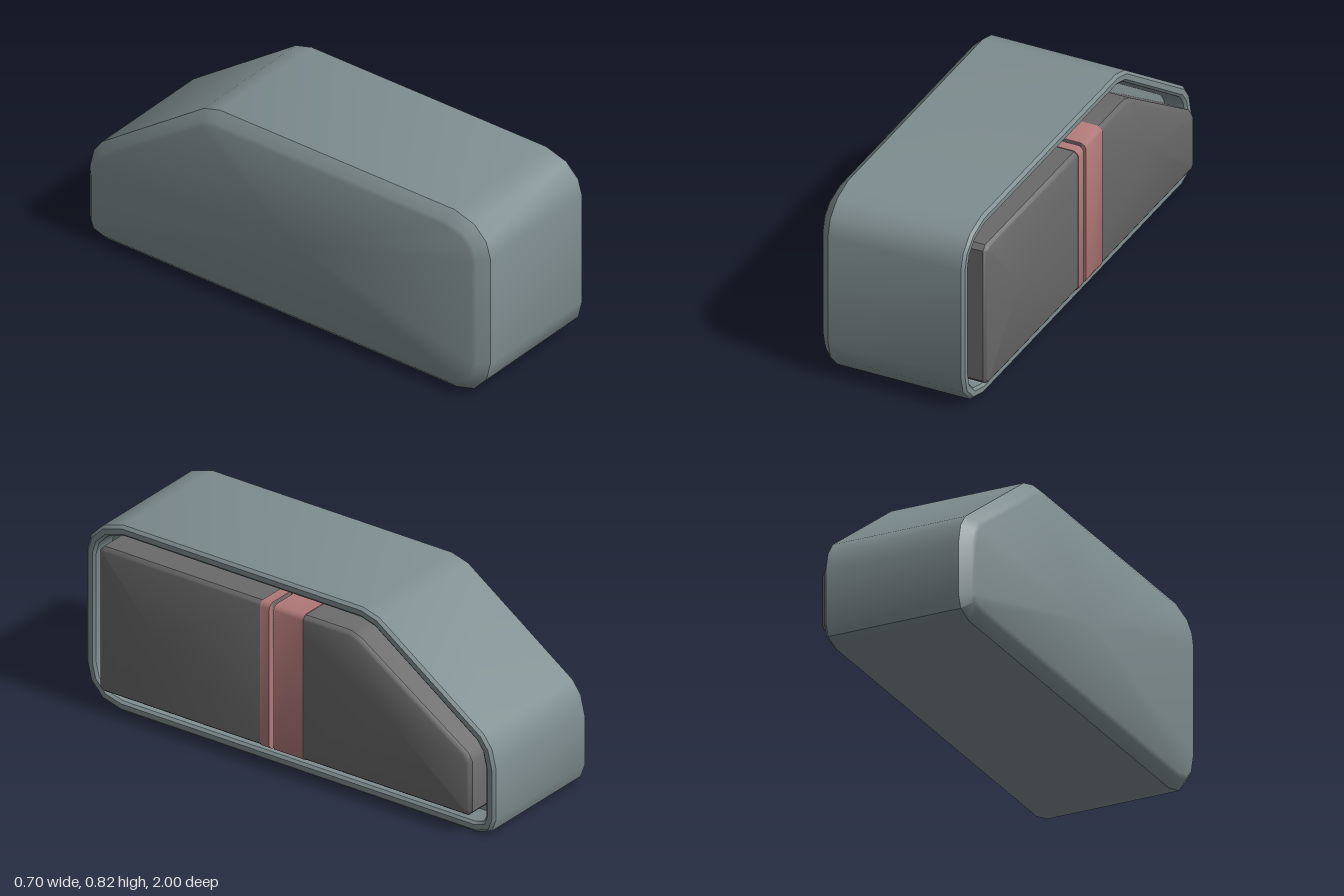
import * as THREE from 'three';
import { toCreasedNormals } from 'three/addons/utils/BufferGeometryUtils.js';

// Move every edge of a convex counter-clockwise outline inwards by d.
function inset(points, d) {
  const n = points.length;
  return points.map((p, i) => {
    const a = points[(i + n - 1) % n], b = points[(i + 1) % n];
    const l1 = Math.hypot(p[0] - a[0], p[1] - a[1]);
    const l2 = Math.hypot(b[0] - p[0], b[1] - p[1]);
    const n1 = [-(p[1] - a[1]) / l1, (p[0] - a[0]) / l1];
    const n2 = [-(b[1] - p[1]) / l2, (b[0] - p[0]) / l2];
    const k = d / (1 + n1[0] * n2[0] + n1[1] * n2[1]);
    return [p[0] + (n1[0] + n2[0]) * k, p[1] + (n1[1] + n2[1]) * k];
  });
}

// Loft a [z, y] outline through steps of [x, inset], closed at both ends.
function loft(outline, steps) {
  const n = outline.length, last = (steps.length - 1) * n;
  const pos = [], idx = [];
  for (const [x, d] of steps) {
    for (const [z, y] of inset(outline, d)) pos.push(x, y, z);
  }
  const cz = outline.reduce((s, p) => s + p[0], 0) / n;
  const cy = outline.reduce((s, p) => s + p[1], 0) / n;
  const c0 = pos.length / 3;
  pos.push(steps[0][0], cy, cz, steps[steps.length - 1][0], cy, cz);
  for (let j = 0; j < n; j++) {
    const k = (j + 1) % n;
    for (let r = 0; r < last; r += n) {
      idx.push(r + j, r + n + j, r + n + k, r + j, r + n + k, r + k);
    }
    idx.push(c0, j, k, c0 + 1, last + k, last + j);
  }
  const g = new THREE.BufferGeometry();
  g.setAttribute('position', new THREE.Float32BufferAttribute(pos, 3));
  g.setIndex(idx);
  return toCreasedNormals(g, 0.62);
}

export function createModel() {
  const group = new THREE.Group();
  const shellMat = new THREE.MeshStandardMaterial({ color: 0x7f8d90 });
  const panelMat = new THREE.MeshStandardMaterial({ color: 0x6a6a6a });
  const bandMat = new THREE.MeshStandardMaterial({ color: 0xb07878 });
  const add = (name, geometry, material) => {
    const mesh = new THREE.Mesh(geometry, material);
    mesh.name = name;
    group.add(mesh);
    return mesh;
  };

  // Casing: bevelled back, straight walls, rim, and a recess for the panels
  const casing = [
    [1, 0.17], [1, 0.66], [0.98, 0.73], [0.92, 0.79], [0.82, 0.82],
    [-0.35, 0.82], [-0.43, 0.797], [-0.94, 0.44], [-0.98, 0.385], [-1, 0.3],
    [-1, 0.08], [-0.98, 0.025], [-0.91, 0], [0.83, 0], [0.92, 0.025], [0.98, 0.09],
  ];
  add('casing', loft(casing, [
    [-0.355, 0.055], [-0.345, 0.038], [-0.305, 0], [0.278, 0], [0.29, 0.012],
    [0.29, 0.034], [0.28, 0.045], [0.2, 0.056],
  ]), shellMat);

  // Two raised panels, parted by a narrow seam
  const panelSteps = [[0.18, 0], [0.325, 0], [0.338, 0.01], [0.342, 0.018]];
  add('frontPanel', loft([
    [0.06, 0.09], [0.88, 0.09], [0.9, 0.11], [0.9, 0.71], [0.88, 0.73], [0.06, 0.73],
  ], panelSteps), panelMat);
  add('rearPanel', loft([
    [0.04, 0.09], [0.04, 0.73], [-0.33, 0.73], [-0.38, 0.71],
    [-0.9, 0.365], [-0.92, 0.33], [-0.92, 0.11], [-0.9, 0.09],
  ], panelSteps), panelMat);

  // Coloured bands wrapped over the panel edges beside the seam
  const section = new THREE.Shape([
    [0.18, 0.087], [0.325, 0.087], [0.339, 0.096], [0.345, 0.108],
    [0.345, 0.712], [0.339, 0.724], [0.325, 0.733], [0.18, 0.733],
  ].map(([x, y]) => new THREE.Vector2(x, y)));
  for (const [name, z, width] of [['narrowBand', 0.06, 0.045], ['wideBand', -0.105, 0.145]]) {
    const band = new THREE.ExtrudeGeometry(section, { depth: width, bevelEnabled: false });
    add(name, toCreasedNormals(band, 0.62), bandMat).position.z = z;
  }
  return group;
}
